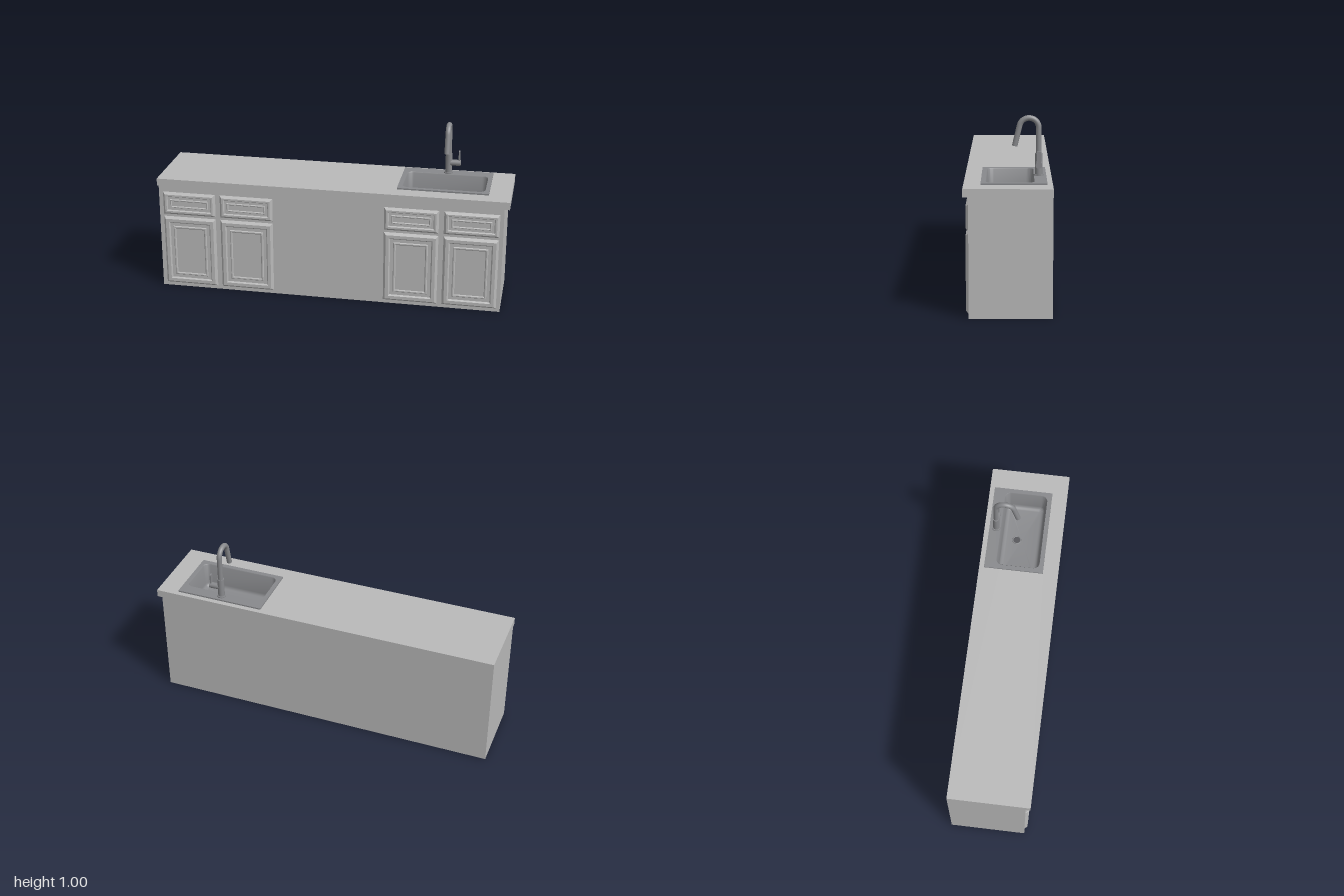
import * as THREE from 'three';
import { toCreasedNormals } from 'three/addons/utils/BufferGeometryUtils.js';

const stone = new THREE.MeshStandardMaterial({ name: 'pale grey cabinet', color: 0xb9b9b9 });
const steel = new THREE.MeshStandardMaterial({ name: 'brushed steel', color: 0x88898c });
const dark = new THREE.MeshStandardMaterial({ name: 'dark drain', color: 0x55565a });

function add(parent, name, geometry, material, x = 0, y = 0, z = 0) {
  const mesh = new THREE.Mesh(geometry, material);
  mesh.name = name;
  mesh.position.set(x, y, z);
  parent.add(mesh);
  return mesh;
}

// Counter-clockwise rectangle in the xy plane, with optional round corners
function ring(w, h, r, steps, z) {
  const pts = [];
  [[1, -1], [1, 1], [-1, 1], [-1, -1]].forEach(([sx, sy], c) => {
    for (let i = 0; i <= steps; i++) {
      const a = (c - 1) * Math.PI / 2 + (steps ? i / steps : 0) * Math.PI / 2;
      pts.push(new THREE.Vector3(
        sx * (w / 2 - r) + r * Math.cos(a), sy * (h / 2 - r) + r * Math.sin(a), z));
    }
  });
  return pts;
}

// Joins rings from the outside inwards and closes the last one
function loft(rings, crease) {
  const pos = [];
  const tri = (...pts) => pts.forEach((p) => pos.push(p.x, p.y, p.z));
  const n = rings[0].length;
  const last = rings[rings.length - 1];
  const centre = new THREE.Vector3(0, 0, last[0].z);
  for (let i = 0; i < n; i++) {
    const j = (i + 1) % n;
    for (let k = 0; k < rings.length - 1; k++) {
      tri(rings[k][i], rings[k][j], rings[k + 1][j]);
      tri(rings[k][i], rings[k + 1][j], rings[k + 1][i]);
    }
    tri(last[i], last[j], centre);
  }
  const g = new THREE.BufferGeometry();
  g.setAttribute('position', new THREE.Float32BufferAttribute(pos, 3));
  g.computeVertexNormals();
  return toCreasedNormals(g, crease);
}

// Flat horizontal plate with a rounded opening
function plate(x0, x1, z0, z1, thickness, hole) {
  const shape = new THREE.Shape([[x0, -z1], [x1, -z1], [x1, -z0], [x0, -z0]]
    .map(([x, y]) => new THREE.Vector2(x, y)));
  shape.holes.push(new THREE.Path(hole));
  return new THREE.ExtrudeGeometry(shape, { depth: thickness, bevelEnabled: false })
    .rotateX(-Math.PI / 2);
}

// Moulded door or drawer front: [inset, height above the cabinet face]
const moulding = [[0, 0], [0.013, 0.015], [0.031, 0.015], [0.038, 0.007],
  [0.056, 0.007], [0.06, 0.012], [0.066, 0.012], [0.071, 0.008]];
function panel(w, h, scale) {
  return loft(moulding.map(([inset, z], i) => {
    const d = 2 * inset * (i > 1 ? scale : 1);
    return ring(w - d, h - d, 0, 0, z);
  }), 0.1);
}

export function createModel() {
  const model = new THREE.Group();
  model.name = 'kitchenCounter';

  // Cabinet body, open at the top where the worktop covers it
  const body = new THREE.BoxGeometry(1.97, 0.632, 0.428);
  const index = Array.from(body.index.array);
  index.splice(12, 6);
  body.setIndex(index);
  body.clearGroups();
  add(model, 'cabinetBody', body, stone, -0.015, 0.316, -0.014);

  // Doors with drawers above
  for (const x of [-0.822, -0.487, 0.459, 0.795]) {
    add(model, 'door', panel(0.308, 0.418, 1), stone, x, 0.229, 0.2);
    add(model, 'drawerFront', panel(0.308, 0.136, 0.75), stone, x, 0.52, 0.2);
  }

  // Worktop and sink share one opening
  const sinkX = 0.622, sinkZ = -0.01, w = 0.464, h = 0.25;
  const hole = ring(w, h, 0.035, 8, 0)
    .map((p) => new THREE.Vector2(p.x + sinkX, p.y - sinkZ));
  add(model, 'worktop', plate(-1, 1, -0.228, 0.228, 0.043, hole), stone, 0, 0.632, 0);
  // Underside strips ahead of and beside the cabinet belong to the worktop plate

  const sink = new THREE.Group();
  sink.name = 'sink';
  model.add(sink);
  add(sink, 'sinkRim', plate(0.366, 0.877, -0.2, 0.14, 0.008, hole), steel, 0, 0.675, 0);
  const wall = [[0, 0.683], [0.003, 0.678], [0.012, 0.56]];
  for (let i = 1; i <= 5; i++) {
    const a = i / 5 * Math.PI / 2;
    wall.push([0.012 + 0.025 * (1 - Math.cos(a)), 0.56 - 0.025 * Math.sin(a)]);
  }
  const basin = loft(wall.map(([d, y]) =>
    ring(w - 2 * d, h - 2 * d, Math.max(0.035 - d * 0.5, 0.01), 8, y)), 0.7);
  add(sink, 'sinkBasin', basin.rotateX(-Math.PI / 2), steel, sinkX, 0, sinkZ);
  add(sink, 'drainRing', new THREE.TorusGeometry(0.023, 0.004, 8, 28).rotateX(Math.PI / 2),
    steel, 0.622, 0.536, -0.04);
  add(sink, 'drain', new THREE.CylinderGeometry(0.022, 0.022, 0.004, 28), dark, 0.622, 0.536, -0.04);

  // Tap: flange, body, bent spout and side lever
  const tap = new THREE.Group();
  tap.name = 'tap';
  tap.position.set(0.622, 0, -0.16);
  model.add(tap);
  add(tap, 'tapFlange', new THREE.CylinderGeometry(0.026, 0.026, 0.007, 28), steel, 0, 0.686, 0);
  add(tap, 'tapBody', new THREE.CylinderGeometry(0.019, 0.019, 0.117, 28), steel, 0, 0.7415, 0);

  const path = new THREE.CurvePath();
  const V = (y, z) => new THREE.Vector3(0, y, z);
  const arc = [];
  const r = 0.051, bend = Math.PI - 0.22;
  for (let i = 0; i <= 16; i++) {
    const a = i / 16 * bend;
    arc.push(V(0.934 + r * Math.sin(a), r - r * Math.cos(a)));
  }
  path.add(new THREE.LineCurve3(V(0.79, 0), arc[0]));
  path.add(new THREE.CatmullRomCurve3(arc));
  path.add(new THREE.LineCurve3(arc[16], V(0.838, 0.126)));
  add(tap, 'spout', new THREE.TubeGeometry(path, 64, 0.0148, 20), steel);
  const tip = add(tap, 'spoutTip', new THREE.CircleGeometry(0.0148, 20), dark, 0, 0.838, 0.126);
  tip.lookAt(tip.getWorldPosition(new THREE.Vector3())
    .add(V(0.838, 0.126).sub(arc[16])));

  add(tap, 'handleHub', new THREE.CylinderGeometry(0.0175, 0.0175, 0.068, 24)
    .rotateZ(Math.PI / 2), steel, 0.034, 0.745, 0);
  add(tap, 'lever', new THREE.BoxGeometry(0.008, 0.066, 0.02), steel, 0.06, 0.783, 0);
  return model;
}
